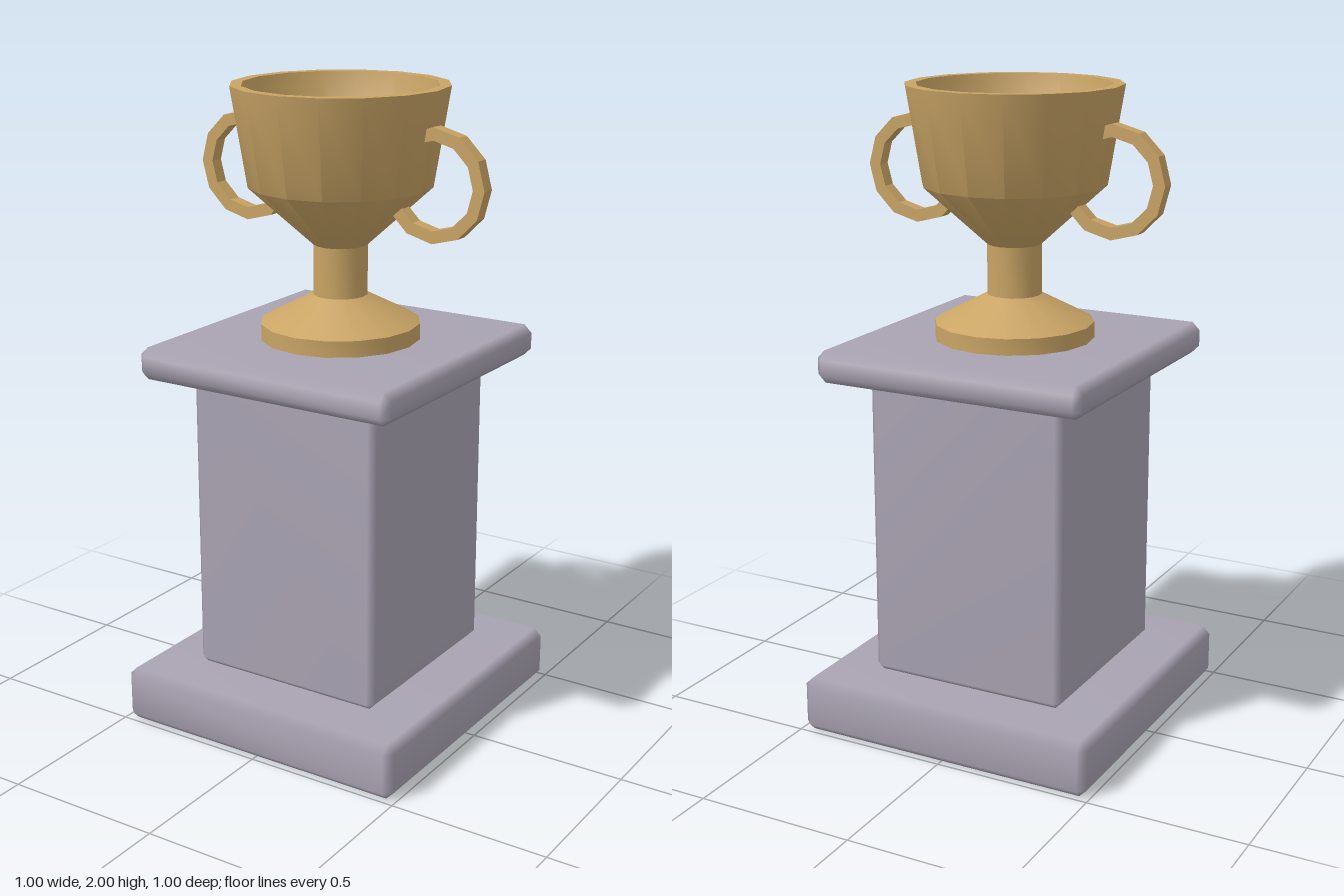
import * as THREE from 'three';
import { mergeVertices, toCreasedNormals } from 'three/addons/utils/BufferGeometryUtils.js';
import { ConvexGeometry } from 'three/addons/geometries/ConvexGeometry.js';

const SQUASH = 0.98; // the pedestal and cup are slightly narrower in x

// Box with chamfered edges and corners, softly shaded
function chamferBox(w, h, d, c) {
  const points = [];
  for (const sx of [-1, 1]) for (const sy of [-1, 1]) for (const sz of [-1, 1]) {
    const [x, y, z] = [w / 2, h / 2, d / 2];
    points.push(
      new THREE.Vector3(sx * x, sy * (y - c), sz * (z - c)),
      new THREE.Vector3(sx * (x - c), sy * y, sz * (z - c)),
      new THREE.Vector3(sx * (x - c), sy * (y - c), sz * z));
  }
  const hull = new ConvexGeometry(points);
  hull.deleteAttribute('normal');
  const geometry = mergeVertices(hull, 1e-4);
  geometry.computeVertexNormals();
  return geometry;
}

function lathe(profile, segments) {
  return new THREE.LatheGeometry(profile.map(([r, y]) => new THREE.Vector2(r, y)), segments);
}

export function createModel() {
  const model = new THREE.Group();
  const stone = new THREE.MeshStandardMaterial({ color: 0xa9a3b2 });
  stone.name = 'stone';
  const gold = new THREE.MeshStandardMaterial({ color: 0xc9a465 });
  gold.name = 'gold';

  const add = (name, geometry, material, x = 0, y = 0) => {
    const mesh = new THREE.Mesh(geometry, material);
    mesh.name = name;
    mesh.position.set(x, y, 0);
    model.add(mesh);
    return mesh;
  };

  // Pedestal: plinth, shaft and top slab
  for (const [name, size, bottom, top, chamfer] of [
    ['plinth', 1.0, 0, 0.175, 0.025],
    ['shaft', 0.662, 0.175, 1.13, 0.02],
    ['topSlab', 0.9, 1.13, 1.23, 0.025],
  ]) {
    add(name, chamferBox(size * SQUASH, top - bottom, size, chamfer), stone, 0, (bottom + top) / 2);
  }

  // Cup: foot, stem, bowl, rim and hollow inside in one turned profile
  const cup = lathe([
    [0, 1.228], [0.25, 1.228], [0.25, 1.28], [0.085, 1.365], [0.085, 1.52],
    [0.285, 1.7], [0.335, 2], [0.3, 2], [0.25, 1.72], [0.05, 1.535], [0, 1.53],
  ], 16);
  cup.scale(SQUASH, 1, 1);
  add('cup', toCreasedNormals(cup, 0.73), gold);

  // Faceted ring handles, passing through the bowl wall
  const ring = lathe([
    [0.132, -0.022], [0.17, -0.022], [0.17, 0.022], [0.132, 0.022], [0.132, -0.022],
  ], 12).toNonIndexed();
  ring.computeVertexNormals();
  ring.rotateX(Math.PI / 2);
  for (const [name, side] of [['leftHandle', 1], ['rightHandle', -1]]) {
    add(name, ring, gold, side * 0.329, 1.73);
  }

  return model;
}
